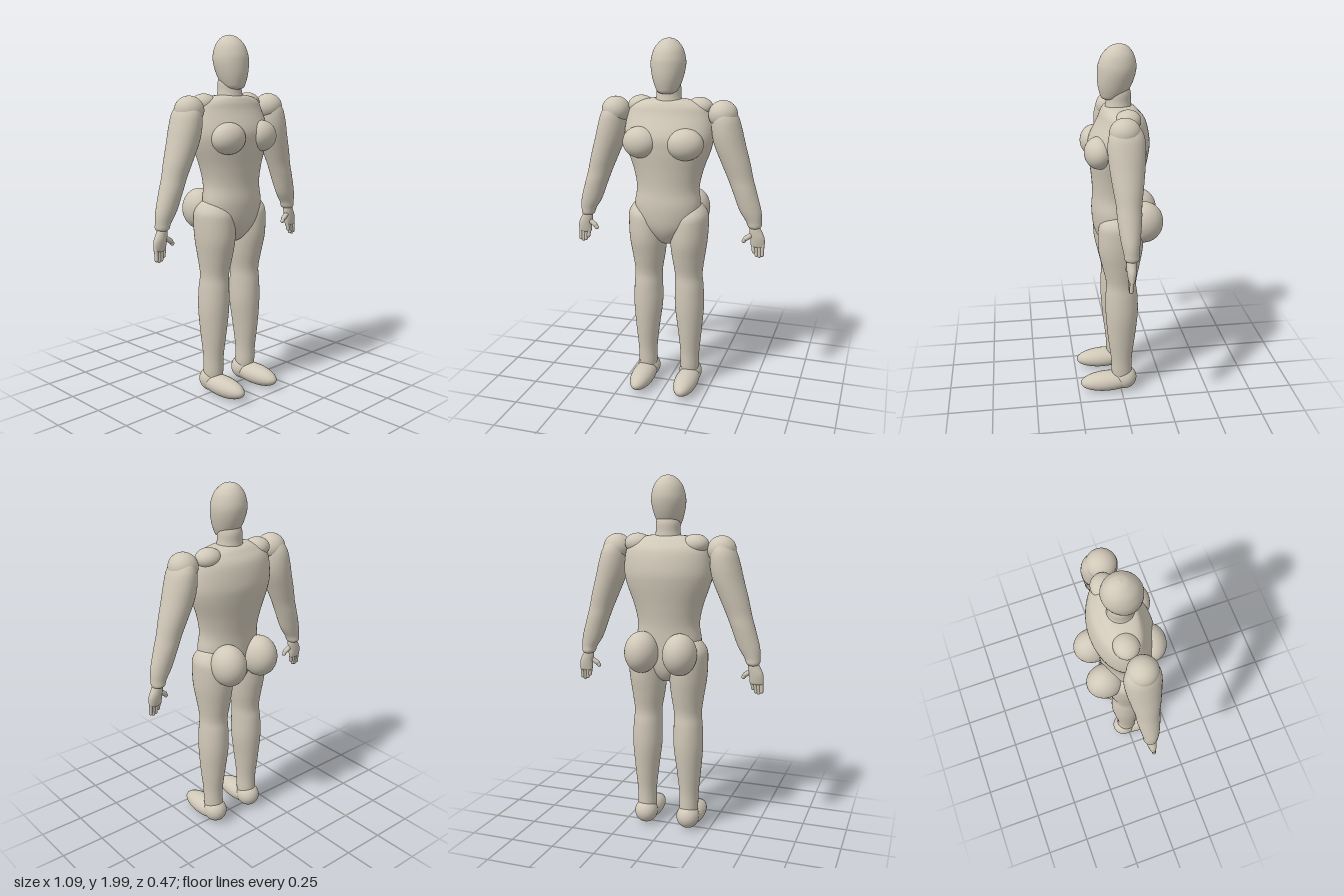
import * as THREE from 'three';

const clay = new THREE.MeshStandardMaterial({ color: 0xd0c8b8 });
clay.name = 'clay';

// Smooth closed body through elliptical sections [y, cx, cz, rx, rz], top to bottom
function loft(name, rows, side = 1, rings = 56, segs = 40) {
  const centre = new THREE.CatmullRomCurve3(rows.map(r => new THREE.Vector3(r[1] * side, r[0], r[2])), false, 'catmullrom', 0.5);
  const size = new THREE.CatmullRomCurve3(rows.map(r => new THREE.Vector3(r[3], 0, r[4])), false, 'catmullrom', 0.5);
  const pos = [], index = [];
  for (let i = 0; i <= rings; i++) {
    const c = centre.getPoint(i / rings), s = size.getPoint(i / rings);
    for (let j = 0; j < segs; j++) {
      const a = j / segs * Math.PI * 2;
      pos.push(c.x + Math.max(s.x, 0.0005) * Math.cos(a), c.y, c.z + Math.max(s.z, 0.0005) * Math.sin(a));
      if (i === rings) continue;
      const p = i * segs + j, q = i * segs + (j + 1) % segs;
      index.push(p, q, p + segs, q, q + segs, p + segs);
    }
  }
  const g = new THREE.BufferGeometry();
  g.setAttribute('position', new THREE.Float32BufferAttribute(pos, 3));
  g.setIndex(index);
  g.computeVertexNormals();
  const m = new THREE.Mesh(g, clay);
  m.name = name;
  return m;
}

function ellipsoid(name, [x, y, z], [rx, ry, rz], rotX = 0, rotY = 0) {
  const m = new THREE.Mesh(new THREE.SphereGeometry(1, 40, 28), clay);
  m.position.set(x, y, z);
  m.scale.set(rx, ry, rz);
  m.rotation.set(rotX, rotY, 0);
  m.name = name;
  return m;
}

// Rounded digit between two points
function digit(name, a, b, r) {
  const p = new THREE.Vector3(...a), q = new THREE.Vector3(...b), d = q.clone().sub(p);
  const m = new THREE.Mesh(new THREE.CapsuleGeometry(r, d.length(), 6, 14), clay);
  m.position.copy(p).add(q).multiplyScalar(0.5);
  m.quaternion.setFromUnitVectors(new THREE.Vector3(0, 1, 0), d.normalize());
  m.name = name;
  return m;
}

function makeArm(s, label) {
  const arm = new THREE.Group();
  arm.name = label + 'Arm';
  arm.add(ellipsoid('shoulder', [0.3 * s, 1.61, 0.005], [0.078, 0.075, 0.08]));
  arm.add(loft('armShape', [
    [1.665, 0.3, 0, 0.001, 0.001], [1.65, 0.302, 0, 0.04, 0.055], [1.6, 0.312, 0, 0.068, 0.088],
    [1.53, 0.322, 0, 0.081, 0.096], [1.45, 0.34, 0, 0.084, 0.091], [1.35, 0.375, 0, 0.077, 0.078],
    [1.27, 0.402, 0, 0.069, 0.066], [1.2, 0.426, 0, 0.065, 0.062], [1.1, 0.459, 0, 0.06, 0.05],
    [1.04, 0.48, -0.002, 0.044, 0.04], [1.005, 0.486, -0.004, 0.034, 0.035], [0.99, 0.487, -0.004, 0.001, 0.001],
  ], s));

  // Hand: flat palm, four fingers and a thumb
  arm.add(loft('palm', [
    [1.015, 0.486, 0, 0.025, 0.025], [0.985, 0.492, 0, 0.034, 0.026], [0.95, 0.503, 0, 0.039, 0.025],
    [0.915, 0.506, 0, 0.039, 0.02], [0.895, 0.507, 0, 0.034, 0.014], [0.888, 0.507, 0, 0.001, 0.001],
  ], s, 24, 24));
  const tips = [0.868, 0.85, 0.845, 0.852];
  tips.forEach((y, i) => arm.add(digit('finger', [(0.479 + i * 0.018) * s, 0.915, 0.002], [(0.487 + i * 0.0155) * s, y, 0.006], 0.0105)));
  arm.add(digit('thumbBase', [0.478 * s, 0.965, 0.004], [0.442 * s, 0.94, 0.008], 0.014));
  arm.add(digit('thumbTip', [0.44 * s, 0.94, 0.008], [0.431 * s, 0.925, 0.01], 0.0115));
  return arm;
}

function makeLeg(s, label) {
  const leg = new THREE.Group();
  leg.name = label + 'Leg';
  leg.add(loft('legShape', [
    [1.125, 0.145, 0, 0.001, 0.001], [1.11, 0.142, 0, 0.045, 0.06], [1.06, 0.127, 0, 0.095, 0.112],
    [1.0, 0.12, 0, 0.107, 0.125], [0.9, 0.118, 0.002, 0.104, 0.122], [0.8, 0.116, 0, 0.092, 0.103],
    [0.7, 0.118, -0.002, 0.078, 0.084], [0.62, 0.121, -0.004, 0.081, 0.09], [0.5, 0.123, -0.005, 0.083, 0.091],
    [0.35, 0.127, -0.003, 0.068, 0.077], [0.22, 0.128, -0.003, 0.055, 0.061], [0.12, 0.127, -0.005, 0.053, 0.058],
    [0.07, 0.128, -0.01, 0.04, 0.045], [0.05, 0.128, -0.01, 0.001, 0.001],
  ], s));
  leg.add(ellipsoid('heel', [0.128 * s, 0.08, -0.022], [0.066, 0.068, 0.07]));
  leg.add(ellipsoid('foot', [0.131 * s, 0.065, 0.075], [0.066, 0.057, 0.163], 0.03));
  return leg;
}

export function createModel() {
  const model = new THREE.Group();
  model.name = 'mannequin';

  // Head and neck
  model.add(loft('head', [
    [2, 0, -0.005, 0.001, 0.001], [1.988, 0, -0.005, 0.038, 0.043], [1.95, 0, 0, 0.073, 0.08],
    [1.9, 0, 0.004, 0.09, 0.099], [1.855, 0, 0.008, 0.093, 0.101], [1.8, 0, 0.016, 0.083, 0.092],
    [1.75, 0, 0.025, 0.066, 0.073], [1.72, 0, 0.038, 0.045, 0.046], [1.708, 0, 0.045, 0.001, 0.001],
  ]));
  model.add(loft('neck', [
    [1.8, 0, 0, 0.05, 0.05], [1.75, 0, -0.003, 0.065, 0.064], [1.7, 0, -0.002, 0.067, 0.066], [1.64, 0, 0, 0.08, 0.075],
  ], 1, 16));

  // Torso
  model.add(loft('torso', [
    [1.688, 0, -0.005, 0.001, 0.001], [1.678, 0, -0.005, 0.12, 0.07], [1.65, 0, -0.01, 0.2, 0.1],
    [1.6, 0, -0.018, 0.232, 0.128], [1.5, 0, -0.004, 0.248, 0.162], [1.42, 0, 0, 0.237, 0.16],
    [1.3, 0, 0.005, 0.195, 0.142], [1.2, 0, 0.01, 0.176, 0.131], [1.1, 0, 0.015, 0.186, 0.132],
    [1, 0, 0.012, 0.165, 0.124], [0.93, 0, 0.005, 0.1, 0.1], [0.885, 0, 0, 0.04, 0.06], [0.868, 0, 0, 0.001, 0.001],
  ], 1, 72, 56));

  // Mirrored parts
  for (const [s, label] of [[1, 'left'], [-1, 'right']]) {
    model.add(ellipsoid(label + 'Collar', [0.165 * s, 1.638, -0.03], [0.072, 0.054, 0.066]));
    model.add(ellipsoid(label + 'Breast', [0.125 * s, 1.46, 0.118], [0.098, 0.085, 0.076], 0, 0.15 * s));
    model.add(ellipsoid(label + 'Buttock', [0.11 * s, 1.053, -0.128], [0.093, 0.115, 0.106]));
    model.add(makeArm(s, label), makeLeg(s, label));
  }
  return model;
}
